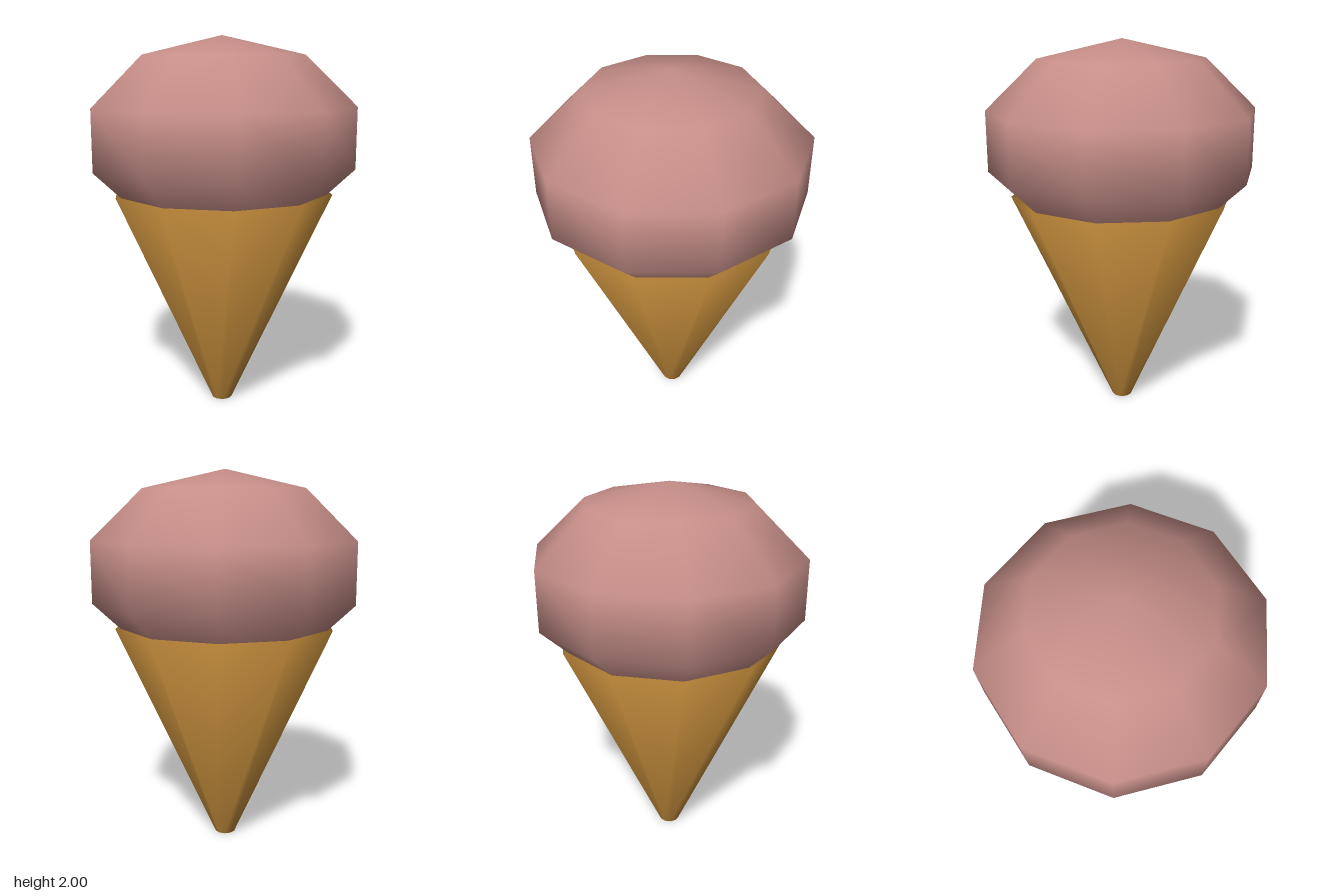
import * as THREE from 'three';
import { mergeVertices } from 'three/addons/utils/BufferGeometryUtils.js';

const SIDES = 10;

// Weld shared corners so shading flows smoothly across every face
function weld(geometry) {
  geometry.deleteAttribute('normal');
  geometry.deleteAttribute('uv');
  const welded = mergeVertices(geometry, 1e-4);
  welded.computeVertexNormals();
  return welded;
}

export function createModel() {
  const group = new THREE.Group();
  group.name = 'iceCreamCone';

  const waferTan = new THREE.MeshStandardMaterial({ color: 0xc68e3c });
  waferTan.name = 'waferTan';
  const strawberryPink = new THREE.MeshStandardMaterial({ color: 0xc68e88 });
  strawberryPink.name = 'strawberryPink';

  // Tapered wafer cone with a small blunt tip
  const coneHeight = 1.187;
  const coneGeometry = new THREE.CylinderGeometry(0.59, 0.055, coneHeight, SIDES);
  coneGeometry.translate(0, coneHeight / 2, 0);
  const cone = new THREE.Mesh(weld(coneGeometry), waferTan);
  cone.name = 'waferCone';
  group.add(cone);

  // Flattened low-poly scoop, with corners facing front and back
  const scoopGeometry = new THREE.SphereGeometry(1, SIDES, 5, Math.PI / 2);
  scoopGeometry.scale(0.74, 0.517, 0.74);
  scoopGeometry.translate(0, 1.483, 0);
  const scoop = new THREE.Mesh(weld(scoopGeometry), strawberryPink);
  scoop.name = 'scoop';
  group.add(scoop);

  return group;
}
